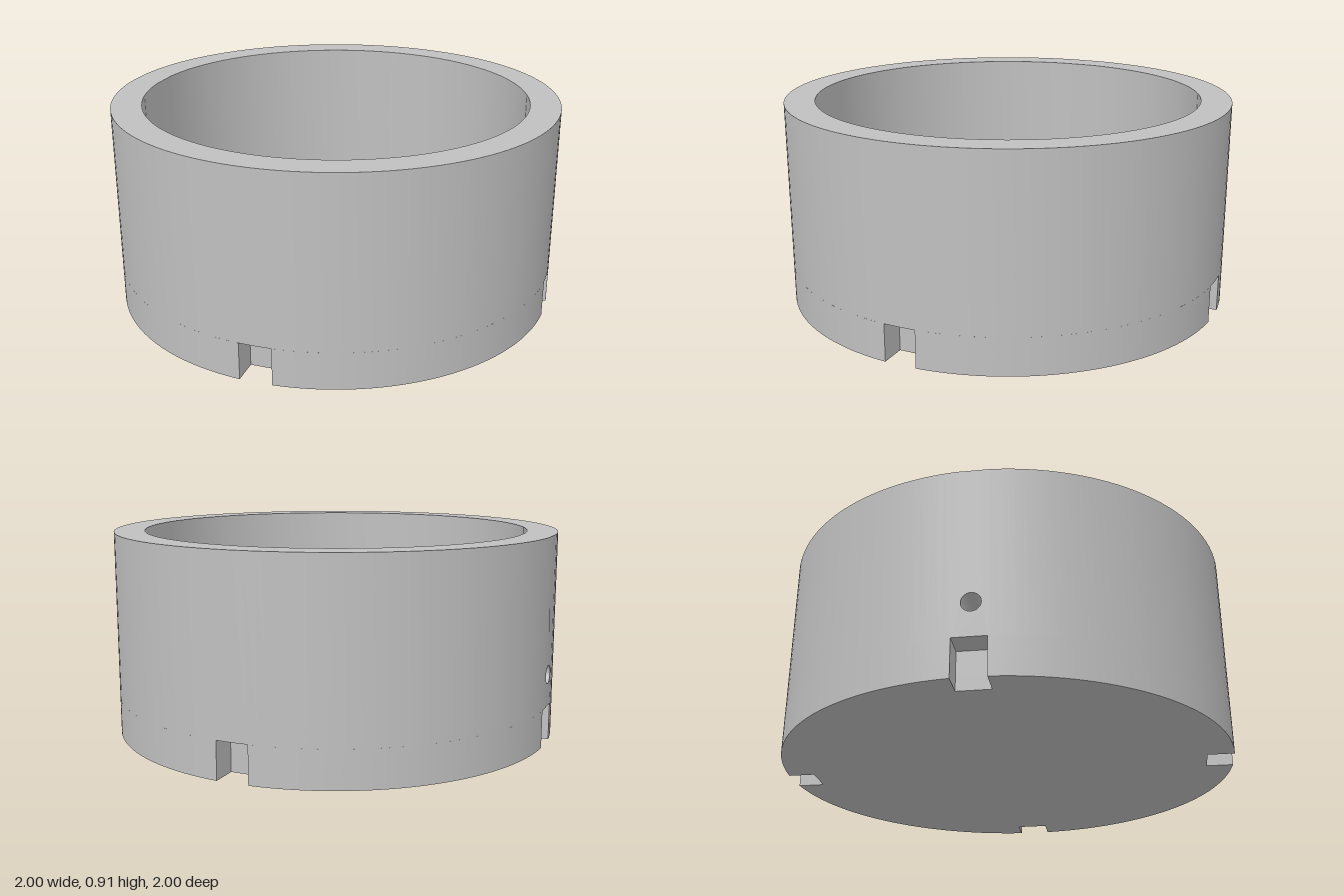
import * as THREE from 'three';
import { toCreasedNormals } from 'three/addons/utils/BufferGeometryUtils.js';

const OUTER = 1, INNER = 0.865, HEIGHT = 0.91;
const FLOOR = 0.08, PIN_BOTTOM = 0.04;
const NOTCH = { top: 0.165, back: 0.882, from: -0.075, to: 0.065 };
const PANEL = 0.07; // half width of the wall strip with the cable hole

// Circular hole path
function circle(x, y, r) {
  const p = new THREE.Path();
  p.absarc(x, y, r, 0, Math.PI * 2, true);
  return p;
}

// Round outline with four square notches, each a quarter turn apart
function notchedDisc() {
  const s = new THREE.Shape();
  for (let k = 0; k < 4; k++) {
    const a = k * Math.PI / 2;
    const at = (t) => [
      NOTCH.back * Math.cos(a) - t * Math.sin(a),
      NOTCH.back * Math.sin(a) + t * Math.cos(a),
    ];
    if (k === 0) s.moveTo(...at(NOTCH.from));
    else s.lineTo(...at(NOTCH.from));
    s.lineTo(...at(NOTCH.to));
    s.absarc(0, 0, OUTER, a + Math.asin(NOTCH.to), a + Math.PI / 2 + Math.asin(NOTCH.from), false);
  }
  s.closePath();
  return s;
}

// Extrude a plan shape upward between two heights
function layer(shape, y0, y1) {
  const g = new THREE.ExtrudeGeometry(shape, { depth: y1 - y0, bevelEnabled: false, curveSegments: 64 });
  g.rotateX(-Math.PI / 2);
  g.translate(0, y0, 0);
  return toCreasedNormals(g, 0.5);
}

// Curved strip of wall with a round hole through it
function holePanel() {
  const s = new THREE.Shape();
  s.moveTo(-PANEL, NOTCH.top);
  s.lineTo(PANEL, NOTCH.top);
  s.lineTo(PANEL, HEIGHT);
  s.lineTo(-PANEL, HEIGHT);
  s.closePath();
  s.holes.push(circle(0, 0.31, 0.04));
  const g = toCreasedNormals(
    new THREE.ExtrudeGeometry(s, { depth: 1, bevelEnabled: false, curveSegments: 16 }), 0.6);
  const pos = g.attributes.position, nor = g.attributes.normal;
  for (let i = 0; i < pos.count; i++) {
    const x = pos.getX(i), r = pos.getZ(i) > 0.5 ? OUTER : INNER;
    const z = Math.sqrt(r * r - x * x), n = nor.getZ(i);
    pos.setZ(i, z);
    if (Math.abs(n) > 0.5) nor.setXYZ(i, Math.sign(n) * x / r, 0, Math.sign(n) * z / r);
  }
  g.rotateY(-Math.PI / 2);
  return g;
}

export function createModel() {
  const group = new THREE.Group();
  group.name = 'roundHousing';
  const grey = new THREE.MeshStandardMaterial({ color: 0xc0c0c0 });
  grey.name = 'grey';
  const add = (name, geometry) => {
    const m = new THREE.Mesh(geometry, grey);
    m.name = name;
    group.add(m);
  };

  // Closed underside
  add('base', layer(notchedDisc(), 0, PIN_BOTTOM));

  // Inner floor with two pairs of blind pin holes
  const floor = notchedDisc();
  for (const s of [-1, 1]) {
    floor.holes.push(circle(s * 0.118, 0, 0.014));
    floor.holes.push(circle(0.58, s * 0.064, 0.014));
  }
  add('floor', layer(floor, PIN_BOTTOM, FLOOR));

  // Wall beside the notches
  const lower = notchedDisc();
  lower.holes.push(circle(0, 0, INNER));
  add('lowerWall', layer(lower, FLOOR, NOTCH.top));

  // Wall above the notches, open at -x for the hole panel
  const ring = new THREE.Shape();
  const ao = Math.PI - Math.asin(PANEL / OUTER), ai = Math.PI - Math.asin(PANEL / INNER);
  ring.absarc(0, 0, OUTER, -ao, ao, false);
  ring.absarc(0, 0, INNER, ai, -ai, true);
  ring.closePath();
  add('upperWall', layer(ring, NOTCH.top, HEIGHT));
  add('cableHolePanel', holePanel());

  return group;
}
